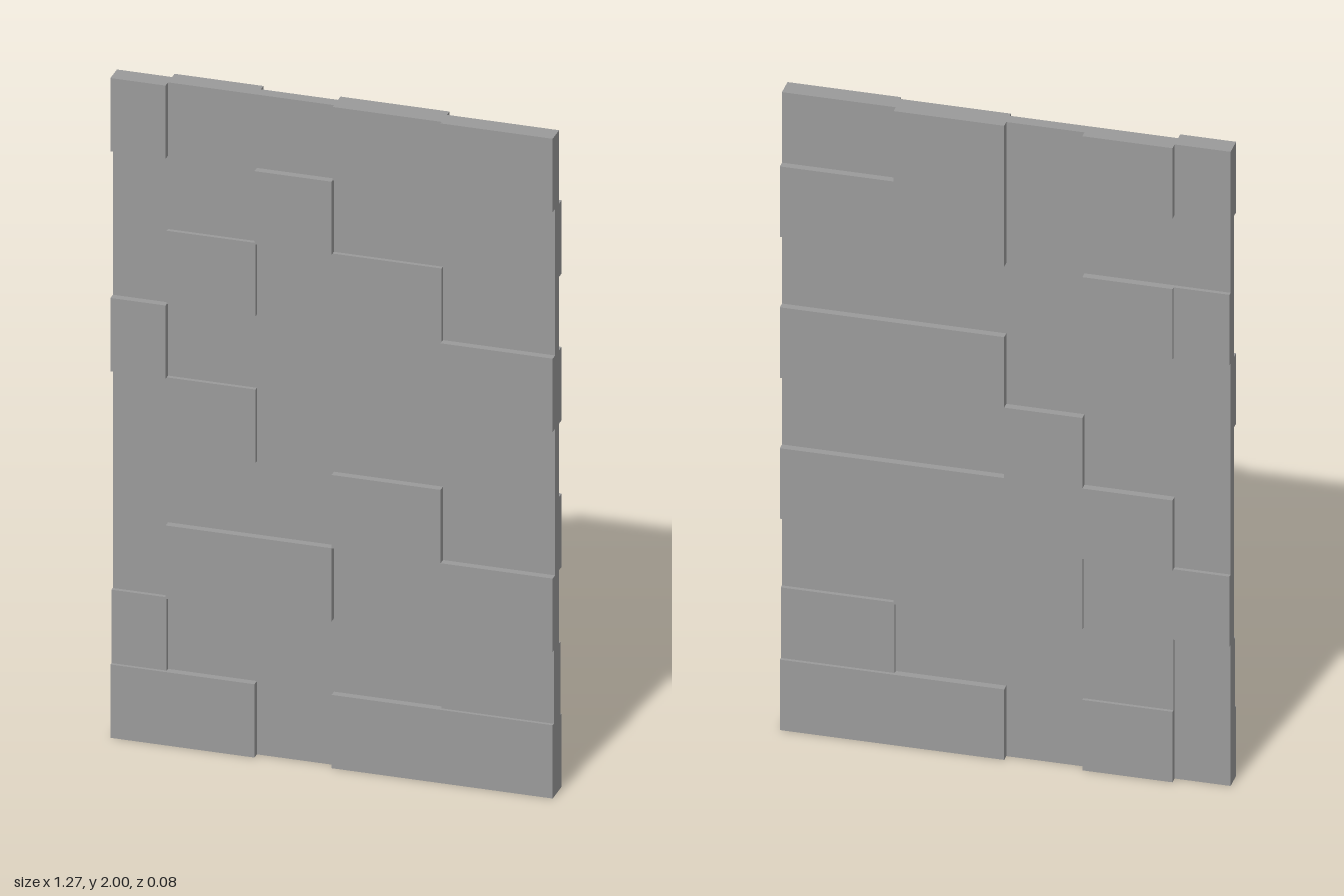
import * as THREE from 'three';

export function createModel() {
  const group = new THREE.Group();
  const grey = new THREE.MeshStandardMaterial({ color: 0x9a9a9a });
  grey.name = 'stone grey';

  const columns = [-0.637, -0.478, -0.222, 0, 0.314, 0.637];
  const rowHeight = 2 / 9;
  const core = 0.018; // half thickness of the plain slab
  const levels = { a: 0.03, b: 0.04 }; // low and high raised blocks

  // Plain slab behind all blocks
  const slab = new THREE.Mesh(new THREE.BoxGeometry(1.274, 2, core * 2), grey);
  slab.name = 'slab';
  slab.position.y = 1;
  group.add(slab);

  // Raised blocks, listed from the top row down and from -x to +x
  const frontBlocks = ['b..ab', '..b..', '.a.a.', 'b...b', '.a...', '...b.', '.bb.b', 'a...a', 'bb.bb'];
  const backBlocks = ['.b.b.', '...bb', 'ab...', '...bb', '..b..', '.bbbb', 'aabb.', '.a..a', '.b.bb'];

  function addBlocks(rows, side, name) {
    const face = new THREE.Group();
    face.name = name;
    rows.forEach((row, r) => [...row].forEach((mark, c) => {
      if (mark === '.') return;
      const depth = levels[mark] - core;
      const width = columns[c + 1] - columns[c];
      const block = new THREE.Mesh(new THREE.BoxGeometry(width, rowHeight, depth), grey);
      block.name = 'raisedBlock';
      block.position.set(columns[c] + width / 2, 2 - (r + 0.5) * rowHeight, side * (core + depth / 2));
      face.add(block);
    }));
    group.add(face);
  }
  addBlocks(frontBlocks, 1, 'frontBlocks');
  addBlocks(backBlocks, -1, 'backBlocks');

  return group;
}
